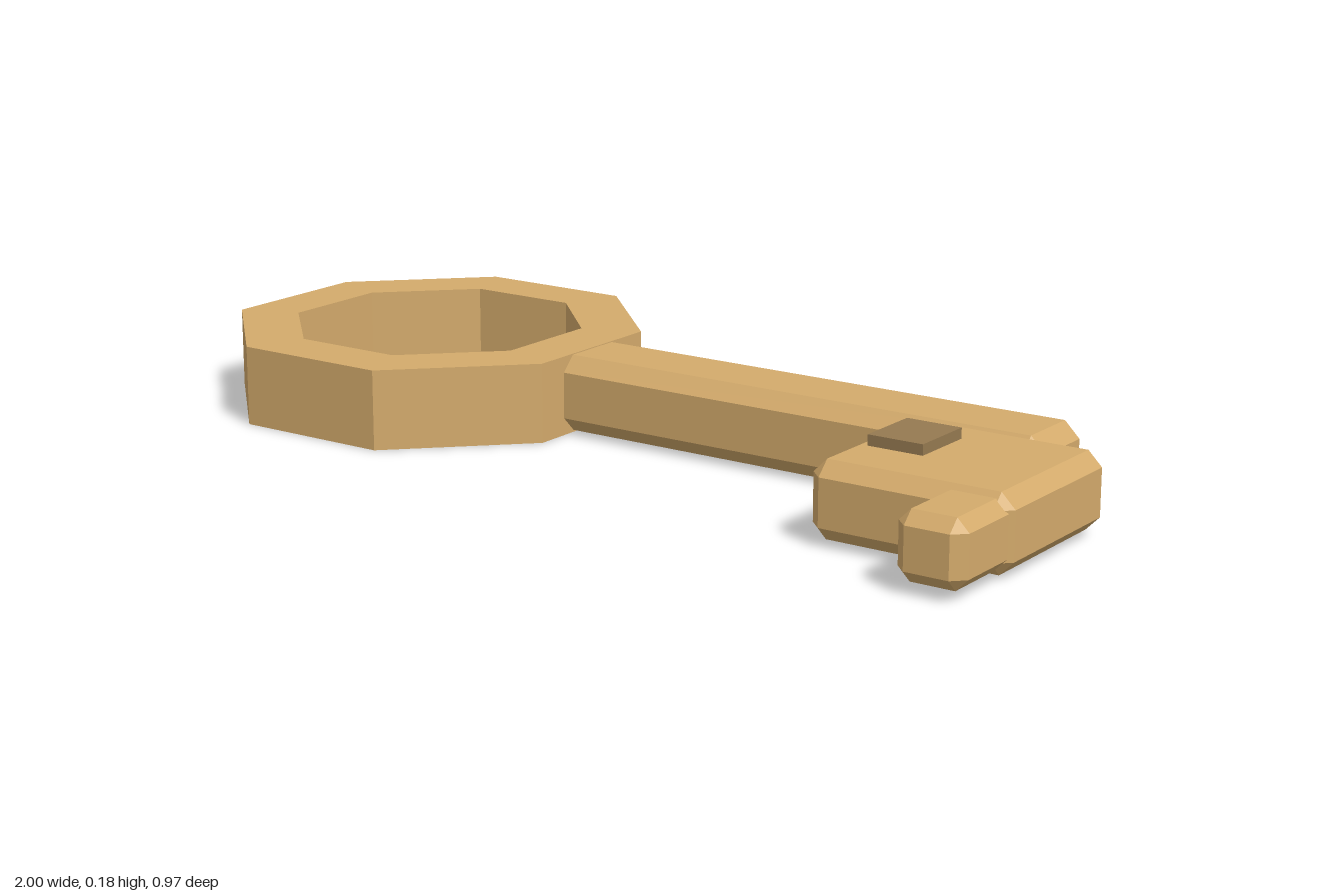
import * as THREE from 'three';
import { ConvexGeometry } from 'three/addons/geometries/ConvexGeometry.js';

// Box between two corners with every edge chamfered by b
function chamferedBox(min, max, b) {
  const points = [];
  for (let corner = 0; corner < 8; corner++) {
    for (let axis = 0; axis < 3; axis++) {
      const p = [0, 1, 2].map((i) => {
        const inset = i === axis ? 0 : b;
        return corner & (1 << i) ? max[i] - inset : min[i] + inset;
      });
      points.push(new THREE.Vector3(...p));
    }
  }
  return new ConvexGeometry(points);
}

// Corners of a regular octagon with flat sides, from its centre-to-side distance
function octagon(apothem) {
  const r = apothem / Math.cos(Math.PI / 8);
  return Array.from({ length: 8 }, (_, i) => {
    const a = (i + 0.5) * Math.PI / 4;
    return new THREE.Vector2(r * Math.cos(a), r * Math.sin(a));
  });
}

export function createModel() {
  const brass = new THREE.MeshStandardMaterial({ color: 0xd4ab6c, flatShading: true });
  brass.name = 'brass';
  const darkBrass = new THREE.MeshStandardMaterial({ color: 0x967a51, flatShading: true });
  darkBrass.name = 'darkBrass';

  const key = new THREE.Group();
  key.name = 'key';
  const add = (name, geometry, material = brass) => {
    const mesh = new THREE.Mesh(geometry, material);
    mesh.name = name;
    key.add(mesh);
    return mesh;
  };

  // Octagonal bow lying flat
  const shape = new THREE.Shape(octagon(0.406));
  shape.holes.push(new THREE.Path(octagon(0.288)));
  const bowGeometry = new THREE.ExtrudeGeometry(shape, { depth: 0.163, bevelEnabled: false });
  bowGeometry.rotateX(-Math.PI / 2);
  add('bow', bowGeometry).position.set(-0.594, 0, -0.079);

  // Shaft, reaching just through the bow's inner wall
  add('shaft', chamferedBox([-0.31, 0.004, -0.175], [0.88, 0.161, 0.018], 0.031));

  // Bit and its end tooth
  add('bit', chamferedBox([0.594, 0.008, -0.03], [0.998, 0.157, 0.345], 0.028));
  add('tooth', chamferedBox([0.854, 0.018, 0.26], [0.99, 0.147, 0.484], 0.024));

  // Raised square stud on the bit
  const stud = add('stud', new THREE.BoxGeometry(0.114, 0.05, 0.138), darkBrass);
  stud.position.set(0.693, 0.153, 0.135);

  return key;
}
